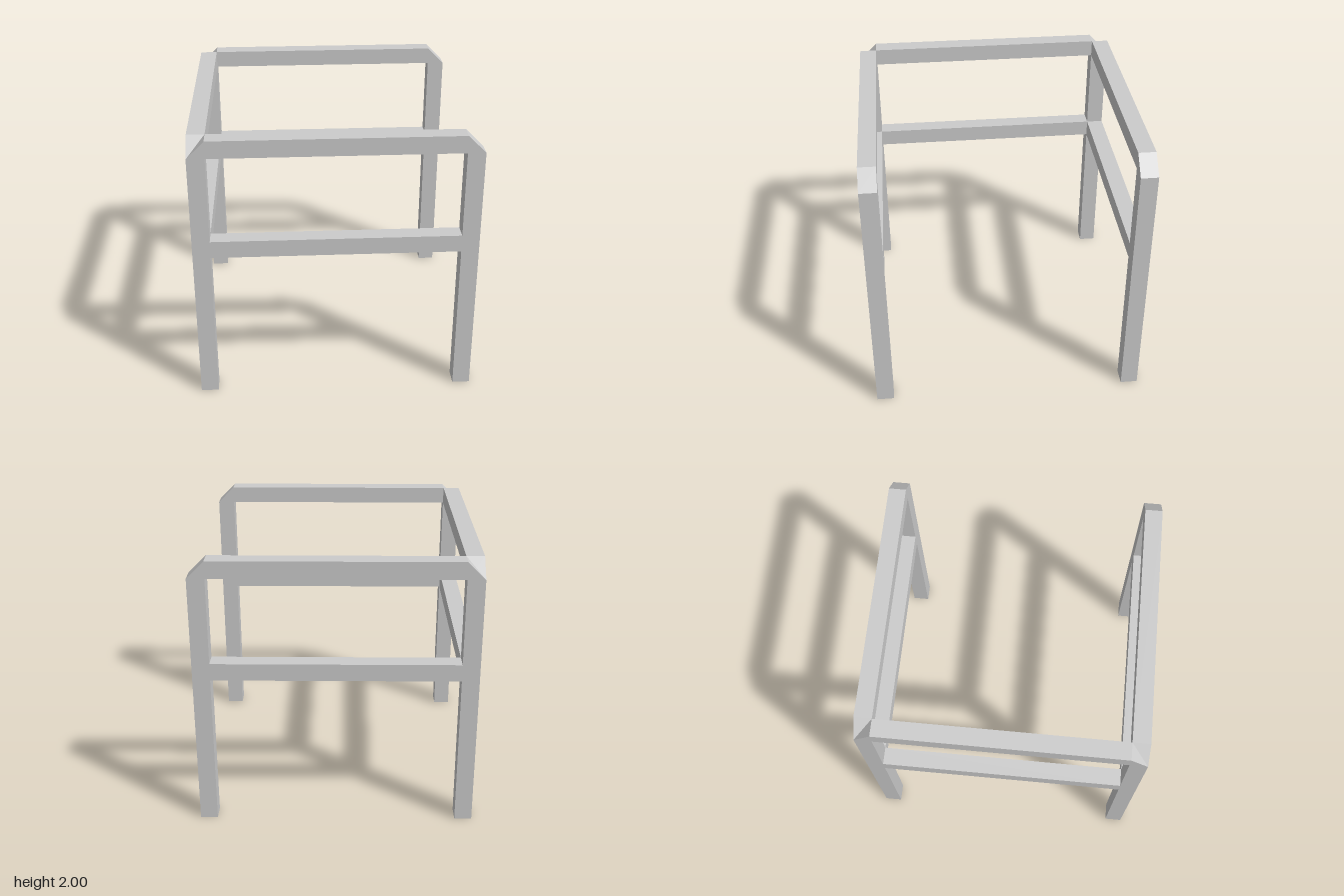
import * as THREE from 'three';

const T = 0.125;        // bar thickness
const IN = 1 - T;       // inner face of the legs
const TOP = 2;
const SHOULDER = TOP - T;
const MID = 1.125;      // underside of the lower rails

const material = new THREE.MeshStandardMaterial({ color: 0xcccccc, flatShading: true });

function polygon(points) {
  return new THREE.Shape(points.map(([x, y]) => new THREE.Vector2(x, y)));
}

function extrudeBar(name, shape) {
  const geometry = new THREE.ExtrudeGeometry(shape, { depth: T, bevelEnabled: false });
  const mesh = new THREE.Mesh(geometry, material);
  mesh.name = name;
  return mesh;
}

// Two legs, upper rail with bevelled corners and lower rail in one outline
function endFrame(name, z) {
  const outline = polygon([
    [-1, 0], [-IN, 0], [-IN, MID], [IN, MID], [IN, 0], [1, 0],
    [1, SHOULDER], [IN, TOP], [-IN, TOP], [-1, SHOULDER],
  ]);
  outline.holes.push(polygon([[-IN, MID + T], [-IN, SHOULDER], [IN, SHOULDER], [IN, MID + T]]));
  const frame = extrudeBar(name, outline);
  frame.position.z = z;
  return frame;
}

// Rail along z on the -x side; its profile is drawn in z and y
function sideRail(name, points) {
  const rail = extrudeBar(name, polygon(points));
  rail.rotation.y = -Math.PI / 2;
  rail.position.x = -IN;
  return rail;
}

export function createModel() {
  const model = new THREE.Group();
  model.name = 'openFrame';

  model.add(endFrame('frontFrame', IN), endFrame('backFrame', -1));

  // Upper rail slopes down over the leg tops, forming a valley with the frame bevels
  model.add(sideRail('upperSideRail', [[-1, SHOULDER], [1, SHOULDER], [IN, TOP], [-IN, TOP]]));
  model.add(sideRail('lowerSideRail', [[-IN, MID], [IN, MID], [IN, MID + T], [-IN, MID + T]]));

  return model;
}
